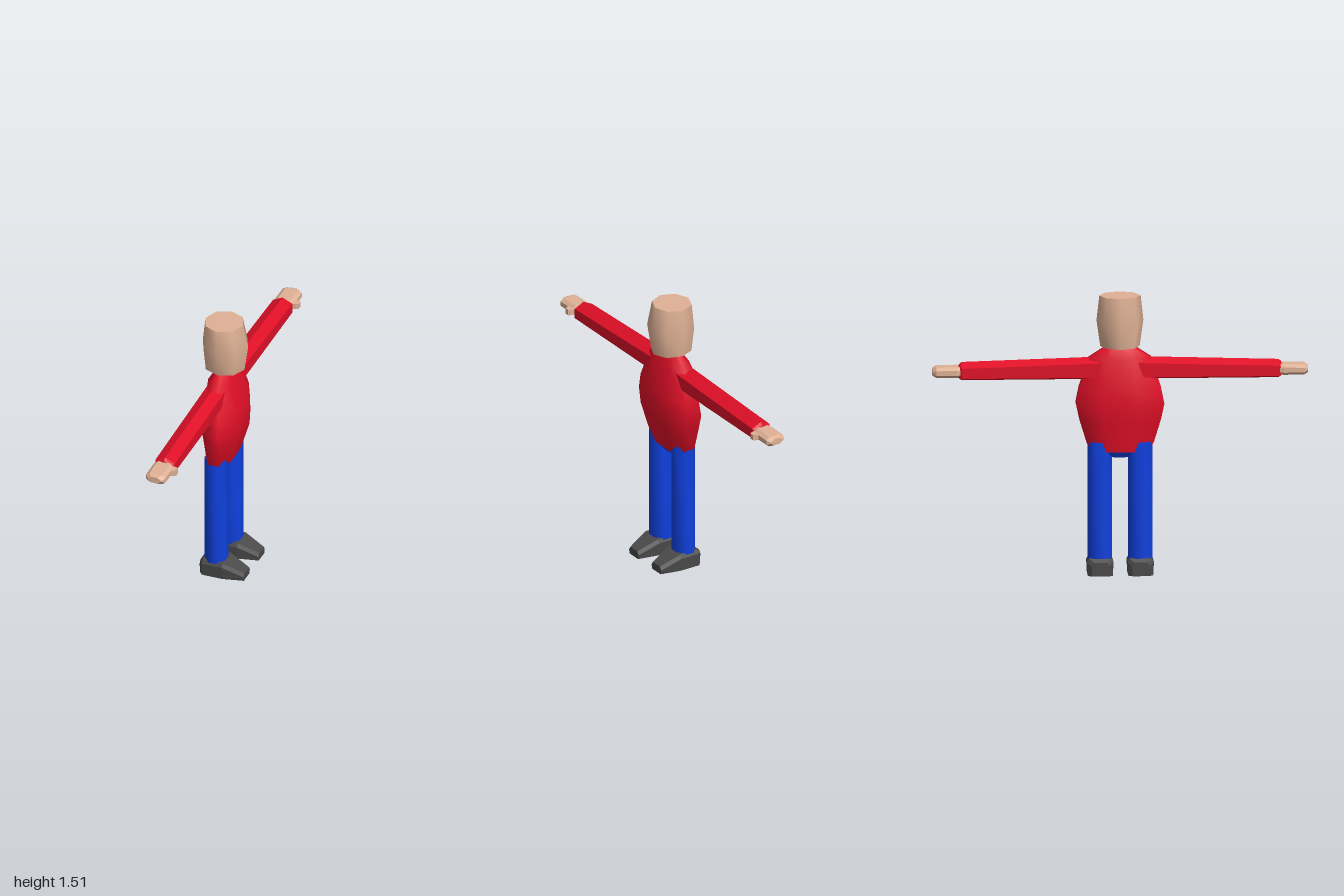
import * as THREE from 'three';

const skin = new THREE.MeshStandardMaterial({ color: 0xdfb195 });
const shirt = new THREE.MeshStandardMaterial({ color: 0xe00f27 });
const trousers = new THREE.MeshStandardMaterial({ color: 0x0f40de });
const shoe = new THREE.MeshStandardMaterial({ color: 0x4a4a4a });
skin.name = 'skin';
shirt.name = 'shirt red';
trousers.name = 'trouser blue';
shoe.name = 'shoe grey';

// Skins a list of equal-length rings of [x, y, z] points and closes both ends
function loft(rings, smooth) {
  const n = rings[0].length;
  const pos = rings.flat(2);
  const tris = [];
  for (let r = 0; r < rings.length - 1; r++) {
    for (let i = 0; i < n; i++) {
      const a = r * n + i, b = r * n + (i + 1) % n;
      tris.push([a, b, b + n], [a, b + n, a + n]);
    }
  }
  // end caps use their own vertices so their edges stay sharp
  for (const [ring, flip] of [[rings[0], true], [rings[rings.length - 1], false]]) {
    const start = pos.length / 3;
    pos.push(...ring.flat());
    for (let i = 1; i < n - 1; i++) {
      tris.push(flip ? [start, start + i + 1, start + i] : [start, start + i, start + i + 1]);
    }
  }
  // turn the faces outward whichever way the rings run
  const p = (i) => new THREE.Vector3().fromArray(pos, i * 3);
  const volume = tris.reduce((s, [a, b, c]) => s + p(a).dot(p(b).cross(p(c))), 0);
  if (volume < 0) tris.forEach((t) => t.reverse());
  let geo = new THREE.BufferGeometry();
  geo.setAttribute('position', new THREE.Float32BufferAttribute(pos, 3));
  geo.setIndex(tris.flat());
  if (!smooth) geo = geo.toNonIndexed();
  geo.computeVertexNormals();
  return geo;
}

// Horizontal octagon with corners on the axes
function octagon(y, x0, x1, halfZ, cz = 0, turn = 0) {
  const grow = turn ? 1 / Math.cos(Math.PI / 8) : 1;
  return Array.from({ length: 8 }, (_, i) => {
    const t = (i / 8) * Math.PI * 2 + turn;
    return [(x0 + x1) / 2 + Math.cos(t) * grow * (x1 - x0) / 2, y, cz + Math.sin(t) * grow * halfZ];
  });
}

export function createModel() {
  const model = new THREE.Group();
  const add = (name, geo, mat, parent = model) => {
    const mesh = new THREE.Mesh(geo, mat);
    mesh.name = name;
    parent.add(mesh);
  };

  // Head
  add('head', loft([
    octagon(1.235, -0.135, 0.09, 0.105),
    octagon(1.375, -0.148, 0.11, 0.125),
    octagon(1.51, -0.133, 0.08, 0.11),
  ], true), skin);

  // Torso: [y, back x, front x, half width]
  const turn = Math.PI / 8;
  add('torso', loft([
    [0.67, -0.09, 0.033, 0.155],
    [0.72, -0.095, 0.05, 0.18],
    [0.84, -0.108, 0.083, 0.217],
    [0.925, -0.115, 0.085, 0.235],
    [1.01, -0.108, 0.083, 0.218],
    [1.175, -0.09, 0.04, 0.165],
    [1.24, -0.052, 0.0, 0.07],
  ].map(([y, x0, x1, w]) => octagon(y, x0, x1, w, 0, turn)), true), shirt);

  // Hips between the legs
  add('hips', loft([
    octagon(0.637, -0.06, 0.005, 0.06, 0, turn),
    octagon(0.672, -0.082, 0.027, 0.13, 0, turn),
  ], false), trousers);

  for (const s of [1, -1]) {
    const side = s > 0 ? 'left' : 'right';
    const limb = new THREE.Group();
    limb.name = side + 'Limbs';
    model.add(limb);

    // Sleeve: ridged hexagon running outward, [z, top y, inset]
    add(side + 'Arm', loft([
      [0.08, 1.18, 0],
      [0.17, 1.177, 0],
      [0.845, 1.157, 0],
      [0.86, 1.143, 0.012],
    ].map(([z, top, k]) => [
      [-0.028, top, s * z],
      [0.027 - k, top - 0.027, s * z],
      [0.027 - k, 1.075 + k / 2, s * z],
      [-0.028, 1.058 + k, s * z],
      [-0.083 + k, 1.075 + k / 2, s * z],
      [-0.083 + k, top - 0.027, s * z],
    ]), false), shirt, limb);

    // Hand: flat mitten with bevelled tip, [z, low y, high y, back x, front x]
    add(side + 'Hand', loft([
      [0.84, 1.08, 1.132, -0.076, 0.02],
      [0.87, 1.077, 1.135, -0.083, 0.028],
      [0.98, 1.078, 1.133, -0.083, 0.028],
      [1.0, 1.088, 1.124, -0.065, 0.01],
    ].map(([z, y0, y1, x0, x1]) => [
      [x0, y0 + 0.015, s * z], [x0 + 0.02, y0, s * z],
      [x1 - 0.02, y0, s * z], [x1, y0 + 0.015, s * z],
      [x1, y1 - 0.015, s * z], [x1 - 0.02, y1, s * z],
      [x0 + 0.02, y1, s * z], [x0, y1 - 0.015, s * z],
    ]), false), skin, limb);

    // Thumb
    add(side + 'Thumb', loft([[0.01, 0.855, 0.915], [0.04, 0.86, 0.9], [0.054, 0.867, 0.893]]
      .map(([x, z0, z1]) => [
        [x, 1.09, s * z0], [x, 1.09, s * z1], [x, 1.122, s * z1], [x, 1.122, s * z0],
      ]), false), skin, limb);

    // Leg
    add(side + 'Leg', loft([
      octagon(0.07, -0.086, 0.031, 0.064, s * 0.107, turn),
      octagon(0.72, -0.086, 0.031, 0.064, s * 0.107, turn),
    ], true), trousers, limb);

    // Shoe: sections from heel to toe, [x, top y, inner z, outer z]
    add(side + 'Shoe', loft([
      [-0.105, 0.075, 0.06, 0.155],
      [-0.085, 0.092, 0.037, 0.178],
      [0.03, 0.092, 0.037, 0.178],
      [0.145, 0.043, 0.062, 0.152],
    ].map(([x, h, z0, z1]) => [
      [x, 0, s * (z0 + 0.004)], [x, 0, s * (z1 - 0.004)],
      [x, h - 0.02, s * z1], [x, h, s * (z1 - 0.012)],
      [x, h, s * (z0 + 0.012)], [x, h - 0.02, s * z0],
    ]), false), shoe, limb);
  }
  return model;
}
